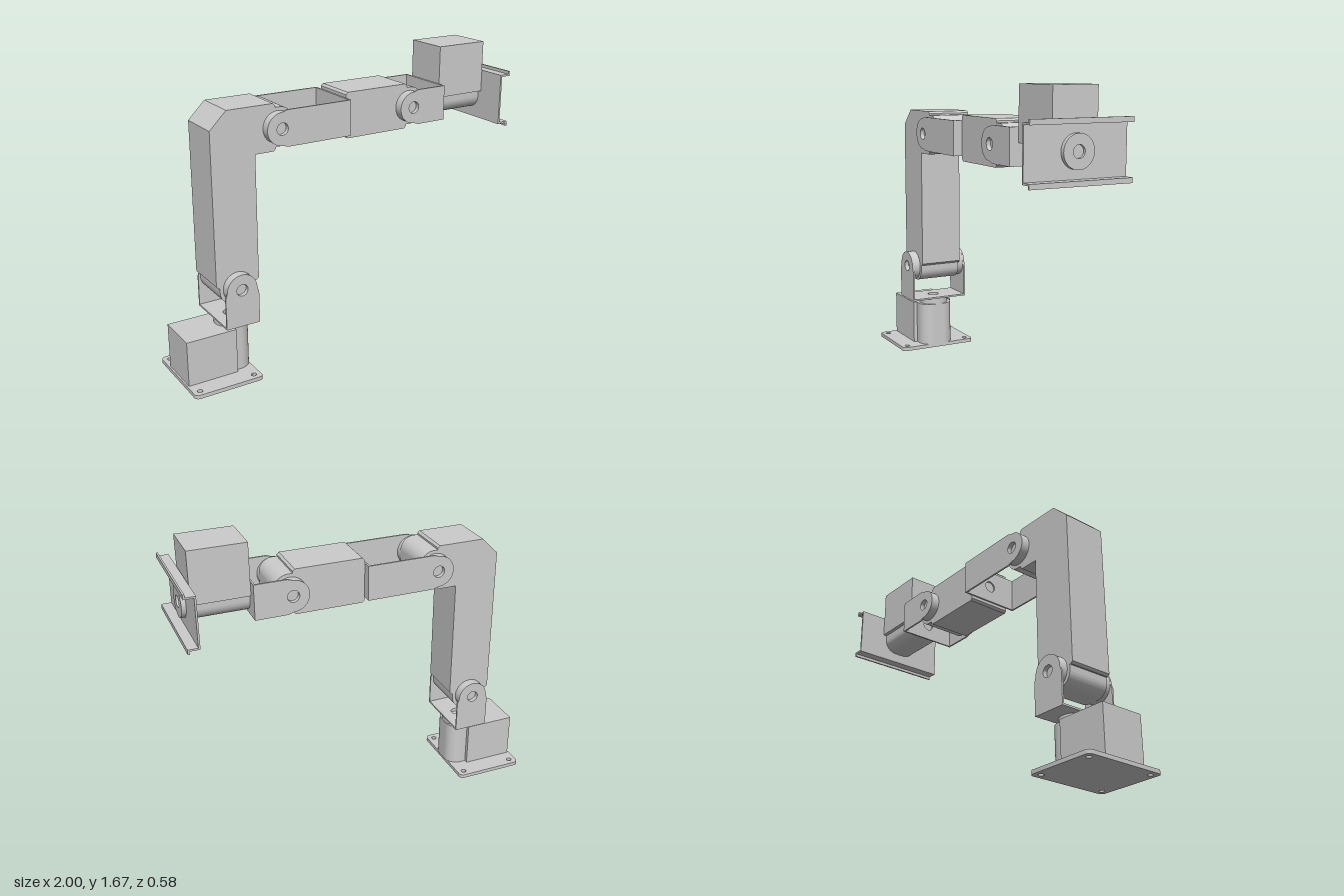
import * as THREE from 'three';
import { toCreasedNormals } from 'three/addons/utils/BufferGeometryUtils.js';

const HALF = 0.127; // half width of every housing
const grey = new THREE.MeshStandardMaterial({ color: 0xcccccc });

function add(parent, name, geometry) {
  const mesh = new THREE.Mesh(geometry, grey);
  mesh.name = name;
  parent.add(mesh);
  return mesh;
}

function polygon(points) {
  return new THREE.Shape(points.map(([x, y]) => new THREE.Vector2(x, y)));
}

function hole(shape, x, y, r) {
  shape.holes.push(new THREE.Path().absarc(x, y, r, 0, Math.PI * 2, true));
}

// Extrusion running from z0 to z1
function extrude(shape, z0, z1) {
  const g = new THREE.ExtrudeGeometry(shape, { depth: z1 - z0, bevelEnabled: false, curveSegments: 20 });
  return toCreasedNormals(g.translate(0, 0, z0), 0.5);
}

// Rounded nose around a pivot at the origin, pointing along +x, pivot axis z
function nose(parent, z0, z1) {
  const w = 0.105, r = 0.075, end = 0.087;
  const s = new THREE.Shape();
  s.moveTo(-0.04, -w);
  s.lineTo(end - r, -w);
  s.absarc(end - r, -w + r, r, -Math.PI / 2, 0, false);
  s.absarc(end - r, w - r, r, 0, Math.PI / 2, false);
  s.lineTo(-0.04, w);
  s.closePath();
  return add(parent, 'actuatorNose', extrude(s, z0, z1));
}

// Turned disc with a small recessed centre, rising along +y from 0 to h
function hub(parent, name, h) {
  const pts = [[0, 0], [0.087, 0], [0.087, h], [0.033, h], [0.033, h - 0.015], [0, h - 0.015]];
  const g = new THREE.LatheGeometry(pts.map(([x, y]) => new THREE.Vector2(x, y)), 48);
  return add(parent, name, toCreasedNormals(g, 0.5));
}

// Nose with a disc on both sides
function pivot(name) {
  const g = new THREE.Group();
  g.name = name;
  nose(g, -HALF, HALF);
  for (const side of [1, -1]) {
    const disc = hub(g, 'pivotDisc', 0.042);
    disc.rotation.x = side * Math.PI / 2;
    disc.position.z = side * (HALF - 0.001);
  }
  return g;
}

// U-shaped bracket: two tapered cheeks from the pivot to a floor at x = length
function bracket(name, length) {
  const g = new THREE.Group();
  g.name = name;
  const cheek = new THREE.Shape();
  cheek.moveTo(0.03, -0.098);
  cheek.lineTo(length, -0.098);
  cheek.lineTo(length, 0.098);
  cheek.lineTo(0.03, 0.098);
  cheek.lineTo(0, 0.088);
  cheek.absarc(0, 0, 0.088, Math.PI / 2, Math.PI * 1.5, false);
  cheek.closePath();
  hole(cheek, 0, 0, 0.033);
  add(g, 'bracketCheek', extrude(cheek, 0.168, 0.178));
  add(g, 'bracketCheek', extrude(cheek, -0.178, -0.168));
  const floor = polygon([[-0.168, -0.098], [0.168, -0.098], [0.168, 0.098], [-0.168, 0.098]]);
  hole(floor, 0, 0, 0.033);
  const f = add(g, 'bracketFloor', extrude(floor, 0, 0.01));
  f.rotation.y = Math.PI / 2;
  f.position.x = length - 0.01;
  return g;
}

// Turning actuator: motor box behind the nose, output hub on top (local z)
function turningActuator(name, length, hubHeight) {
  const g = new THREE.Group();
  g.name = name;
  add(g, 'motorBox', new THREE.BoxGeometry(0.29, HALF * 2, length).translate(-0.165, 0, length / 2));
  nose(g, 0, length);
  const h = hub(g, 'outputHub', hubHeight);
  h.rotation.x = Math.PI / 2;
  h.position.z = length;
  return g;
}

export function createModel() {
  const model = new THREE.Group();
  model.name = 'robotArm';
  const place = (part, x, y, rz = 0) => {
    part.position.set(x, y, 0);
    part.rotation.z = rz;
    model.add(part);
    return part;
  };

  // Base plate with rounded corners and four screw holes
  const plate = new THREE.Shape();
  const px = 0.2, pz = 0.24, r = 0.025;
  plate.absarc(px - r, pz - r, r, 0, Math.PI / 2, false);
  plate.absarc(-px + r, pz - r, r, Math.PI / 2, Math.PI, false);
  plate.absarc(-px + r, -pz + r, r, Math.PI, Math.PI * 1.5, false);
  plate.absarc(px - r, -pz + r, r, Math.PI * 1.5, Math.PI * 2, false);
  for (const x of [-0.16, 0.16]) for (const z of [-0.2, 0.2]) hole(plate, x, z, 0.015);
  const base = add(model, 'basePlate', extrude(plate, 0, 0.022));
  base.rotation.x = -Math.PI / 2;
  base.position.x = -0.8;

  // Base actuator, turning about the vertical
  const shoulder = place(turningActuator('baseActuator', 0.258, 0.042), -0.68, 0.022);
  shoulder.rotation.x = -Math.PI / 2;

  // Three pivots with their brackets
  place(bracket('shoulderBracket', 0.21), -0.68, 0.528, -Math.PI / 2);
  place(pivot('shoulderPivot'), -0.68, 0.528, -Math.PI / 2);
  place(pivot('elbowPivot'), -0.42, 1.367);
  place(bracket('elbowBracket', 0.415), -0.42, 1.367);
  place(pivot('wristPivot'), 0.41, 1.367);
  place(bracket('wristBracket', 0.21), 0.41, 1.367);

  // Bent upper arm housing
  const c = 0.012;
  add(model, 'upperArm', extrude(polygon([
    [-0.805 + c, 0.543], [-0.555 - c, 0.543], [-0.555, 0.543 + c], [-0.555, 1.24],
    [-0.435 - c, 1.24], [-0.435, 1.24 + c], [-0.435, 1.494 - c], [-0.435 - c, 1.494],
    [-0.71, 1.494], [-0.805, 1.4], [-0.805, 0.543 + c],
  ]), -HALF, HALF));

  // Forearm housing
  add(model, 'forearm', extrude(polygon([
    [-0.005 + c, 1.24], [0.395 - c, 1.24], [0.395, 1.24 + c], [0.395, 1.494 - c],
    [0.395 - c, 1.494], [-0.005 + c, 1.494], [-0.005, 1.494 - c], [-0.005, 1.24 + c],
  ]), -HALF, HALF));

  // Wrist actuator, turning about the arm's length with its motor on top
  const wrist = place(turningActuator('wristActuator', 0.312, 0.038), 0.62, 1.365);
  wrist.quaternion.setFromRotationMatrix(new THREE.Matrix4().makeBasis(
    new THREE.Vector3(0, -1, 0), new THREE.Vector3(0, 0, -1), new THREE.Vector3(1, 0, 0)));

  // Tool mount: channel with outward lips
  const t = 0.01, top = 0.143, lip = 0.16;
  const channel = polygon([
    [0.935, -top], [1 - t, -top], [1 - t, -lip], [1, -lip], [1, -top + t], [0.935 + t, -top + t],
    [0.935 + t, top - t], [1, top - t], [1, lip], [1 - t, lip], [1 - t, top], [0.935, top],
  ]);
  add(model, 'toolMount', extrude(channel, -0.288, 0.288)).position.y = 1.364;

  return model;
}
